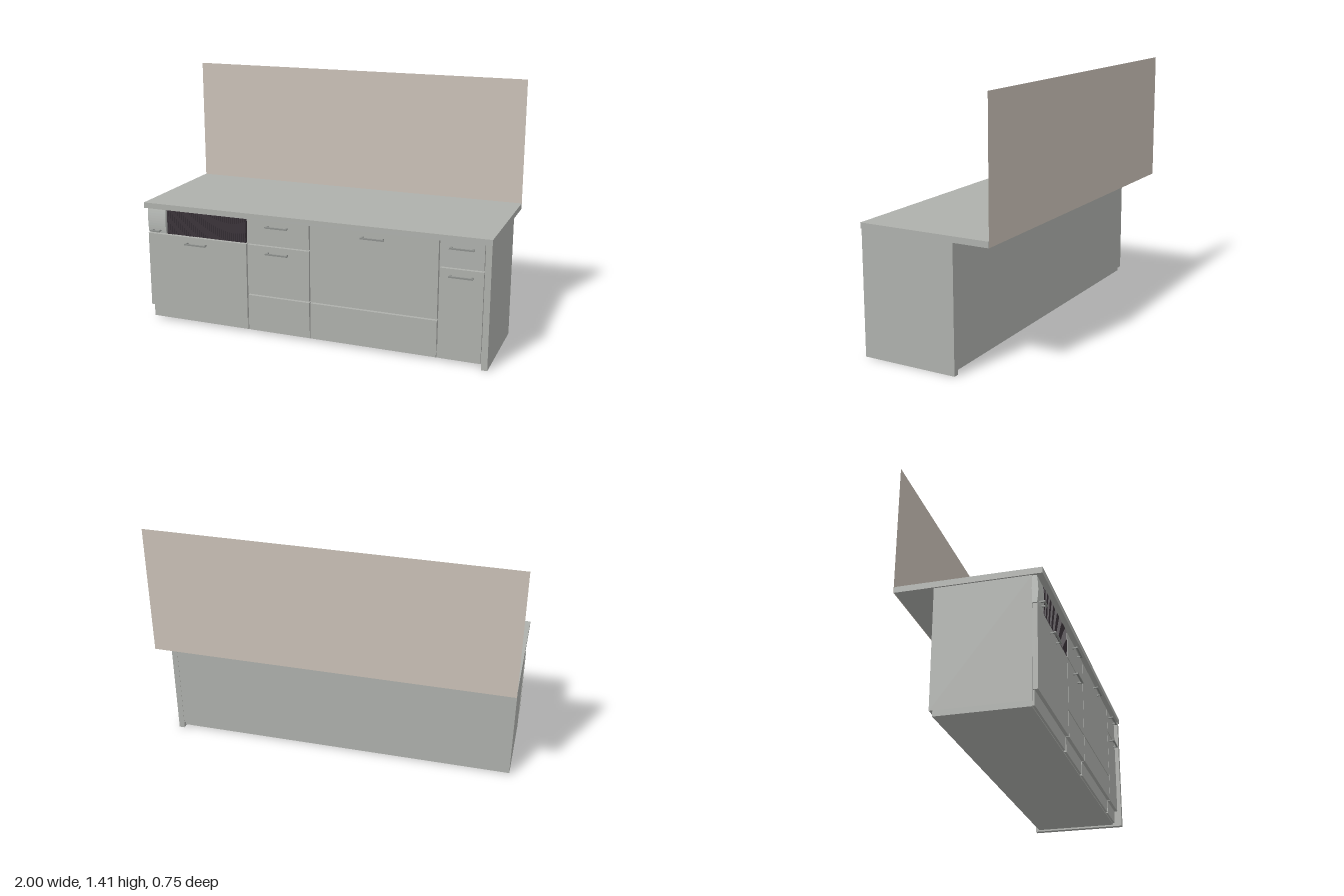
import * as THREE from 'three';

export function createModel() {
  const model = new THREE.Group();
  model.name = 'kitchenCounter';
  const mat = (name, color, side = THREE.FrontSide) => {
    const m = new THREE.MeshStandardMaterial({ color, side });
    m.name = name;
    return m;
  };
  const grey = mat('cabinetGrey', 0xaeb0ac);
  const beige = mat('panelBeige', 0xcac1b7, THREE.DoubleSide);
  const dark = mat('grilleBlack', 0x3b333a);
  const light = mat('controlGrey', 0xb8bbb7);
  const handleGrey = mat('handleGrey', 0x8c8f8c);

  const add = (name, geometry, material) => {
    const mesh = new THREE.Mesh(geometry, material);
    mesh.name = name;
    model.add(mesh);
    return mesh;
  };
  // Box given by its lower and upper limits on each axis
  const box = (name, material, x0, x1, y0, y1, z0, z1) => {
    const mesh = add(name, new THREE.BoxGeometry(x1 - x0, y1 - y0, z1 - z0), material);
    mesh.position.set((x0 + x1) / 2, (y0 + y1) / 2, (z0 + z1) / 2);
    return mesh;
  };

  // Worktop, overhanging the back, and the upright screen along its rear edge
  box('worktop', grey, -1, 1, 0.678, 0.71, -0.37, 0.375);
  const screen = add('rearScreen', new THREE.PlaneGeometry(2, 0.732), beige);
  screen.position.set(0, 1.044, -0.373);

  // Cabinet body, recessed rear base and the end panel reaching the floor
  box('cabinetBody', grey, -0.992, 0.965, 0.04, 0.678, -0.168, 0.322);
  box('base', grey, -0.992, 0.965, 0.01, 0.04, -0.15, 0.318);
  box('endPanel', grey, 0.965, 0.998, 0, 0.678, -0.17, 0.37);

  // Handle: rail on two short posts
  const doorZ = 0.348;
  const handle = (x, y, width = 0.13) => {
    box('handleRail', handleGrey, x - width / 2, x + width / 2, y - 0.004, y + 0.004, 0.368, 0.377);
    for (const s of [-1, 1]) {
      const px = x + s * (width / 2 - 0.008);
      box('handlePost', handleGrey, px - 0.004, px + 0.004, y - 0.004, y + 0.004, doorZ, 0.37);
    }
  };

  // Columns of fronts: [left, right, [bottom, top, handle height or 0]...]
  const columns = [
    [-0.995, -0.378, [0.09, 0.524, 0.488]],
    [-0.37, -0.003, [0.09, 0.229, 0], [0.237, 0.524, 0.488], [0.531, 0.672, 0.64]],
    [0.004, 0.717, [0.09, 0.229, 0], [0.237, 0.672, 0.64]],
    [0.725, 0.957, [0.09, 0.524, 0.488], [0.531, 0.672, 0.64]],
  ];
  for (const [x0, x1, ...fronts] of columns) {
    for (const [y0, y1, hy] of fronts) {
      box('cabinetFront', grey, x0, x1, y0, y1, 0.324, doorZ);
      if (hy) handle((x0 + x1) / 2, hy);
    }
    // Toe board set back under each column
    box('toeBoard', grey, x0 + 0.007, x1 - 0.005, 0.015, 0.09, 0.3, 0.33);
  }

  // Dark grille with fine upright ribs
  box('grille', dark, -0.872, -0.38, 0.531, 0.675, 0.322, 0.345);
  for (let i = 0; i < 40; i++) {
    const x = -0.868 + i * 0.0123;
    box('grilleRib', dark, x, x + 0.006, 0.531, 0.675, 0.345, 0.348);
  }

  // Control panel with a gently bowed face and a small pull
  const face = new THREE.Shape();
  face.moveTo(0.32, 0.531);
  face.lineTo(0.345, 0.531);
  face.quadraticCurveTo(0.358, 0.6, 0.345, 0.675);
  face.lineTo(0.32, 0.675);
  const bowed = new THREE.ExtrudeGeometry(face, { depth: 0.112, bevelEnabled: false, curveSegments: 10 });
  bowed.rotateY(-Math.PI / 2);
  const control = add('controlPanel', bowed, light);
  control.position.x = -0.88;
  handle(-0.937, 0.546, 0.06);

  return model;
}
